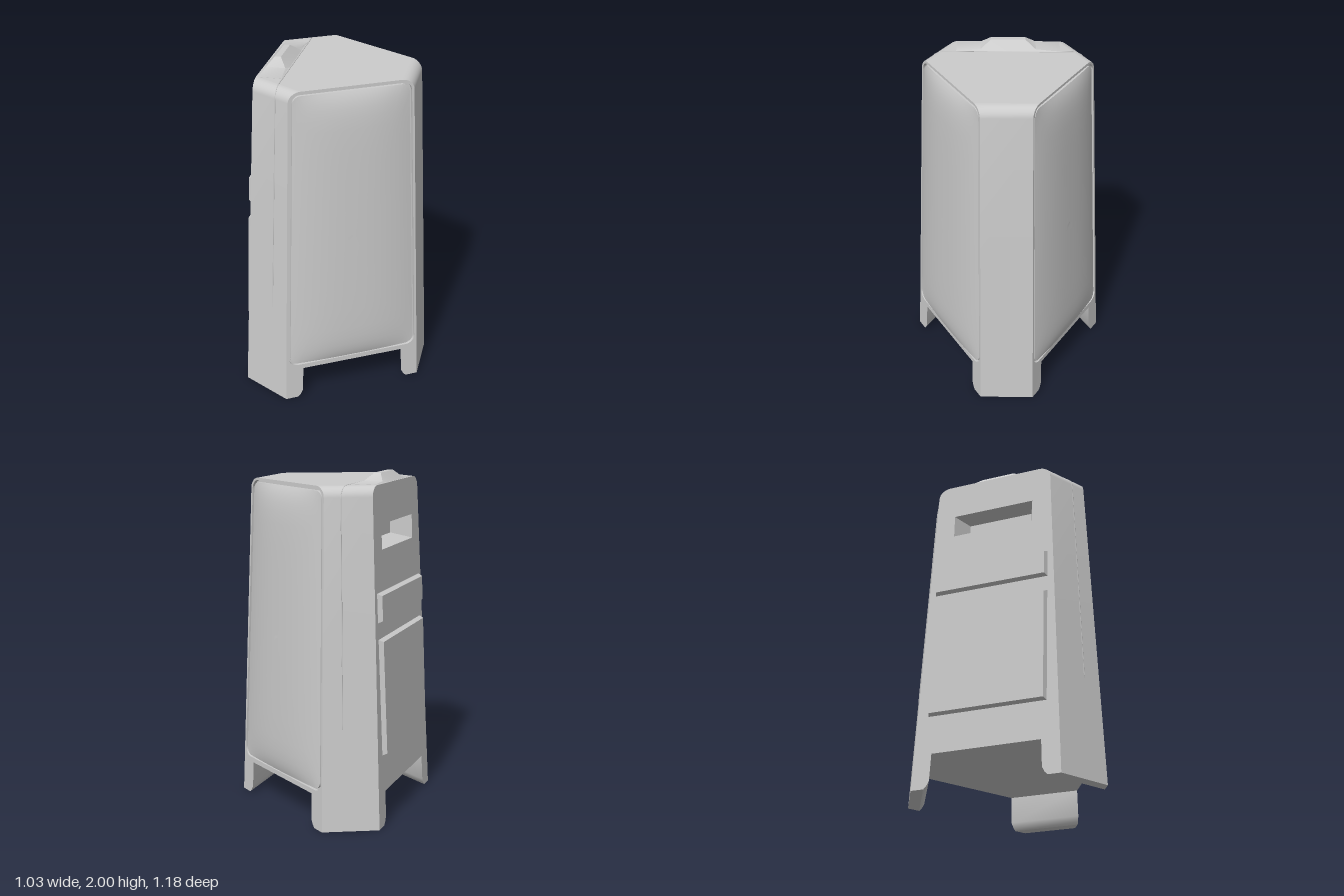
import * as THREE from 'three';
import { toCreasedNormals } from 'three/addons/utils/BufferGeometryUtils.js';

const TOP = 1.95, BASE = 0.2, ROUND = 0.06, COS30 = Math.cos(Math.PI / 6);
// Truncated-triangle plan at ground and at the top; long edges are 0-1, 2-3, 4-5
const LOW = [[0.51, 0.16], [-0.22, 0.59], [-0.51, 0.43], [-0.51, -0.43], [-0.22, -0.59], [0.51, -0.16]];
const HIGH = [[0.43, 0.14], [-0.19, 0.49], [-0.42, 0.36], [-0.42, -0.36], [-0.19, -0.49], [0.43, -0.14]];
const LEVELS = [BASE, 1, TOP - ROUND];
for (let i = 1; i <= 8; i++) LEVELS.push(TOP - ROUND + ROUND * Math.sin(i * Math.PI / 16));

const material = new THREE.MeshStandardMaterial({ color: 0xcccccc, side: THREE.DoubleSide });

// Rounding of the corner faces near the top, measured along the long edges
function inset(y) {
  const t = Math.max(0, y - TOP + ROUND);
  return (ROUND - Math.sqrt(Math.max(0, ROUND * ROUND - t * t))) / COS30;
}

function raw(i, y) {
  const t = y / TOP;
  return new THREE.Vector3(
    THREE.MathUtils.lerp(LOW[i][0], HIGH[i][0], t), y,
    THREE.MathUtils.lerp(LOW[i][1], HIGH[i][1], t));
}

// Plan corner, moved along its long edge
function corner(i, y, move = inset(y)) {
  const a = raw(i, y), b = raw(i ^ 1, y);
  return a.add(b.sub(a).setLength(1).multiplyScalar(move));
}

const halfWidth = (f, y) => raw(f, y).distanceTo(raw(f + 1, y)) / 2;

// Point on the long face f: s to the right seen from outside, out along its normal
function onFace(f, s, y, out = 0) {
  const a = raw(f, y), b = raw(f + 1, y);
  const e = b.clone().sub(a).normalize();
  const p = a.add(b).multiplyScalar(0.5).addScaledVector(e, -s);
  return p.add(new THREE.Vector3(e.z * out, 0, -e.x * out));
}

// Skin between cross-sections, with optional end caps
function loft(loops, { closed = true, start = false, end = false } = {}) {
  const pos = [];
  const tri = (...pts) => pts.forEach(p => pos.push(p.x, p.y, p.z));
  const n = loops[0].length;
  for (let k = 0; k + 1 < loops.length; k++) {
    for (let i = 0; i < (closed ? n : n - 1); i++) {
      const j = (i + 1) % n, A = loops[k], B = loops[k + 1];
      tri(A[i], A[j], B[j]);
      tri(A[i], B[j], B[i]);
    }
  }
  const first = loops[0], last = loops[loops.length - 1];
  for (let i = 1; i + 1 < n; i++) {
    if (start) tri(first[0], first[i + 1], first[i]);
    if (end) tri(last[0], last[i], last[i + 1]);
  }
  const g = new THREE.BufferGeometry();
  g.setAttribute('position', new THREE.Float32BufferAttribute(pos, 3));
  return toCreasedNormals(g, 0.6);
}

// Rounded trapezoid following the sides of a long face, counter-clockwise
function panelOutline(f, margin, r) {
  const y0 = BASE + 0.015 + margin, y1 = TOP - margin;
  const pts = [];
  for (let q = 0; q < 4; q++) {
    const sx = q === 0 || q === 3 ? -1 : 1;
    const yc = q < 2 ? y0 + r : y1 - r;
    const cx = sx * (halfWidth(f, yc) - margin - r);
    for (let i = 0; i <= 8; i++) {
      const a = Math.PI * (1 + q / 2 + i / 16);
      pts.push(new THREE.Vector2(cx + r * Math.cos(a), yc + r * Math.sin(a)));
    }
  }
  // Subdivide the straight sides
  const fine = [];
  pts.forEach((p, i) => {
    const next = pts[(i + 1) % pts.length];
    const steps = p.distanceTo(next) > 0.1 ? 12 : 1;
    for (let k = 0; k < steps; k++) fine.push(p.clone().lerp(next, k / steps));
  });
  return fine;
}

const rectangle = (hw, y0, y1) =>
  [[-hw, y0], [hw, y0], [hw, y1], [-hw, y1]].map(p => new THREE.Vector2(...p));

// Flat side of the body with an opening
function sideWall(f, hole) {
  const side = LEVELS.map(y => new THREE.Vector2(halfWidth(f, y) - inset(y), y));
  const mirrored = side.map(p => new THREE.Vector2(-p.x, p.y)).reverse();
  const shape = new THREE.Shape([...side, ...mirrored]);
  shape.holes.push(new THREE.Path(hole));
  const g = new THREE.ShapeGeometry(shape);
  const pos = g.attributes.position;
  for (let i = 0; i < pos.count; i++) {
    const p = onFace(f, pos.getX(i), pos.getY(i));
    pos.setXYZ(i, p.x, p.y, p.z);
  }
  return toCreasedNormals(g, 0.6);
}

// Bulging cushion sitting in a narrow groove
function cushion(f) {
  const place = (pts, out) => pts.map(p => onFace(f, p.x, p.y, out));
  const outer = panelOutline(f, 0.014, 0.056), inner = panelOutline(f, 0.026, 0.046);
  const mid = (BASE + TOP) / 2;
  const loops = [place(outer, 0), place(outer, -0.018), place(inner, -0.018)];
  for (const k of [1, 0.985, 0.96, 0.93, 0.89, 0.83, 0.75, 0.6, 0.45, 0.3, 0.15, 0.03]) {
    loops.push(inner.map(p => {
      const s = p.x * k, y = mid + (p.y - mid) * k;
      const u = Math.min(1, Math.abs(s) / (halfWidth(f, y) - 0.026));
      const v = Math.min(1, Math.abs(y - mid) / 0.86);
      return onFace(f, s, y, -0.004 + 0.042 * (1 - u ** 2.4) * (1 - v ** 12));
    }));
  }
  return loft(loops, { end: true });
}

// Raised plate with bevelled sides on the plain wall
function plate(y0, y1) {
  const b = 0.014;
  const place = (pts, out) => pts.map(p => onFace(2, p.x, p.y, out));
  return loft([place(rectangle(0.35, y0, y1), -0.005),
    place(rectangle(0.35 - b, y0 + b, y1 - b), 0.026)], { end: true });
}

export function createModel() {
  const model = new THREE.Group();
  const add = (name, geometry) => {
    const m = new THREE.Mesh(geometry, material);
    m.name = name;
    model.add(m);
  };
  const ring = y => [5, 4, 3, 2, 1, 0].map(i => corner(i, y));

  // Body caps
  add('top', loft([ring(TOP)], { end: true }));
  add('underside', loft([ring(BASE)], { start: true }));

  // Corner columns, each with a chamfered foot
  for (const [a, b] of [[1, 2], [3, 4], [5, 0]]) {
    add('cornerColumn', loft(LEVELS.map(y => [corner(b, y), corner(a, y)]), { closed: false }));
    const foot = [[0, 0.075], [0.015, 0.09], [0.045, 0.105], [BASE, 0.105]].map(([y, w]) =>
      [corner(b, y, 0), corner(a, y, 0), corner(a, y, w), corner(b, y, w)]);
    add('foot', loft(foot, { start: true }));
  }

  // Two cushioned walls
  for (const f of [0, 4]) {
    add('sideWall', sideWall(f, panelOutline(f, 0.014, 0.056)));
    add('sidePanel', cushion(f));
  }

  // Plain wall with grip pocket and two plates
  const grip = rectangle(0.25, 1.59, 1.73), gripBack = rectangle(0.2, 1.62, 1.72);
  add('plainWall', sideWall(2, grip));
  add('gripPocket', loft([grip.map(p => onFace(2, p.x, p.y)),
    gripBack.map(p => onFace(2, p.x, p.y, -0.12))], { end: true }));
  add('upperPlate', plate(1.19, 1.36));
  add('lowerPlate', plate(0.42, 1.1));

  // Raised ridge on the top: [z, outer x, inner x, height]
  const half = [[0.3, -0.405, -0.275, 1.951], [0.16, -0.4, -0.29, 1.958], [0.1, -0.365, -0.33, 2]];
  const stations = [...half, ...half.map(([z, ...rest]) => [-z, ...rest]).reverse()];
  add('topRidge', loft(stations.map(([z, x0, x1, y]) => [
    new THREE.Vector3(-0.418, 1.945, z), new THREE.Vector3(-0.27, 1.945, z),
    new THREE.Vector3(x1, y, z), new THREE.Vector3(x0, y, z)].reverse()), { start: true, end: true }));

  // Fine seam over the top and down two columns
  const seam = [0.6, ...LEVELS.slice(1)].map(y => {
    const a = corner(1, y), b = corner(2, y);
    const x = THREE.MathUtils.lerp(-0.31, -0.27, (y - 0.6) / (TOP - 0.6));
    return a.clone().lerp(b, (x - a.x) / (b.x - a.x));
  });
  const path = [...seam, ...seam.map(p => new THREE.Vector3(p.x, p.y, -p.z)).reverse()];
  const curve = new THREE.CurvePath();
  for (let i = 0; i + 1 < path.length; i++) curve.add(new THREE.LineCurve3(path[i], path[i + 1]));
  add('seam', new THREE.TubeGeometry(curve, 160, 0.003, 5));

  return model;
}
